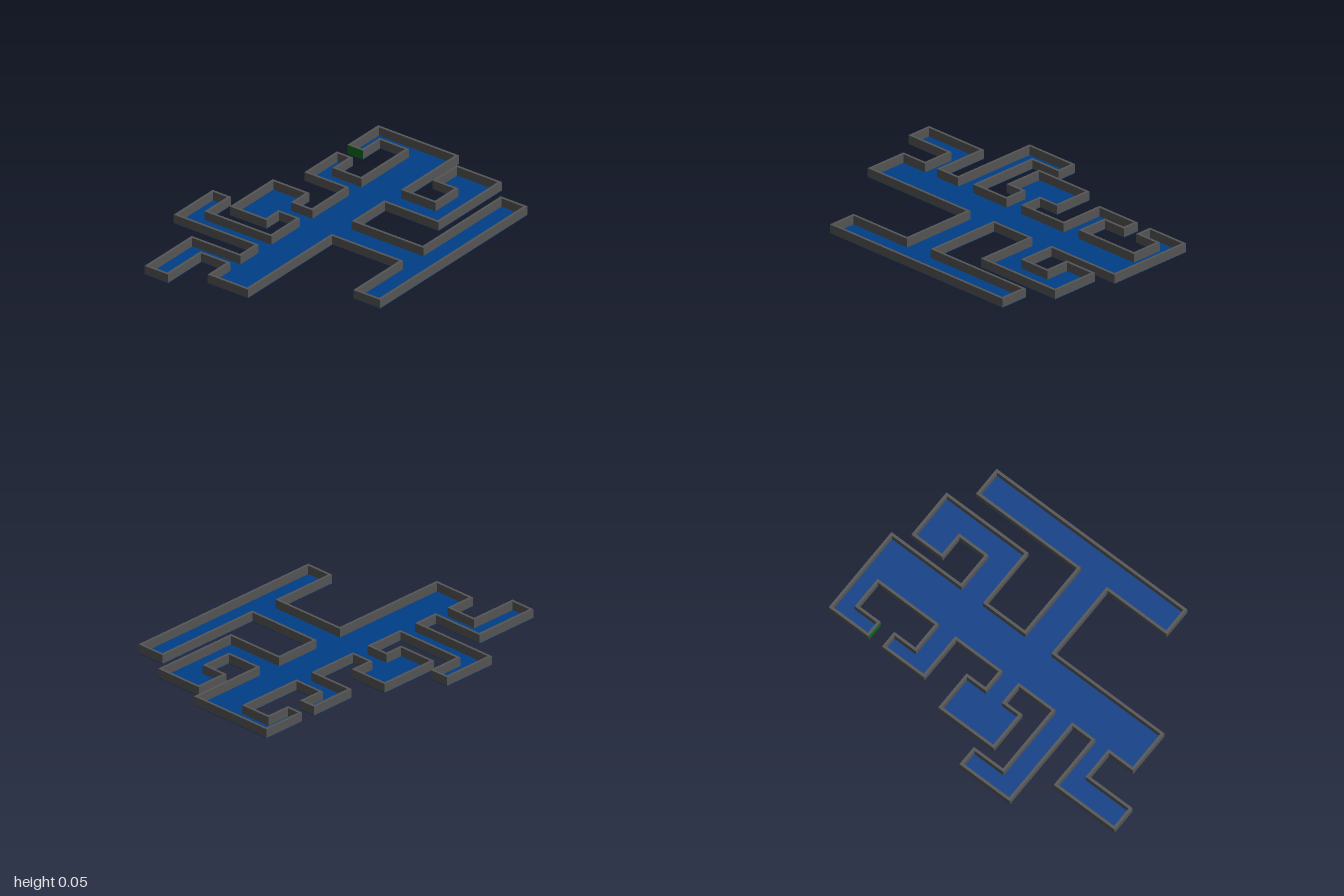
import * as THREE from 'three';

const HEIGHT = 0.055, FLOOR = 0.003, WALL = 0.016;

// Outer outline of the corridors as x, z pairs, clockwise seen from above
const OUTLINE = [
  // back-right arm
  [-0.87, -0.18], [-0.705, -0.18], [-0.705, -0.35], [-1, -0.35], [-1, -0.508], [-0.583, -0.508], [-0.583, -0.18],
  // tall arm
  [-0.455, -0.18], [-0.455, -0.728], [-0.11, -0.728], [-0.11, -0.602], [-0.31, -0.602], [-0.31, -0.18],
  // small room with neck
  [-0.088, -0.18], [-0.088, -0.294], [-0.2, -0.294], [-0.2, -0.543], [0.181, -0.543], [0.181, -0.294], [0.053, -0.294], [0.053, -0.18],
  // two facing hooks
  [0.345, -0.18], [0.345, -0.455], [0.635, -0.455], [0.635, -0.348], [0.49, -0.348], [0.49, -0.18],
  [0.877, -0.18], [0.877, -0.348], [0.727, -0.348], [0.727, -0.455], [1, -0.455], [1, 0.093],
  // front hook
  [0.523, 0.093], [0.523, 0.296], [0.693, 0.296], [0.693, 0.148], [0.907, 0.148], [0.907, 0.455], [0.345, 0.455], [0.345, 0.093],
  // stem and front corridor
  [0.087, 0.093], [0.087, 0.547], [0.778, 0.547], [0.778, 0.728], [-0.528, 0.728], [-0.528, 0.547], [-0.123, 0.547], [-0.123, 0.093],
  [-0.87, 0.093],
].map(([x, z]) => new THREE.Vector2(x, -z));

// Moves every right-angled corner inwards by t along both of its edges' normals
function inset(points, t) {
  const normal = (a, b) => {
    const d = b.clone().sub(a).normalize();
    return new THREE.Vector2(d.y, -d.x);
  };
  const n = points.length;
  return points.map((p, i) => p.clone()
    .addScaledVector(normal(points[(i + n - 1) % n], p), t)
    .addScaledVector(normal(p, points[(i + 1) % n]), t));
}

// Extrudes a plan shape upwards from y
function slab(name, shape, y, height, material) {
  const geometry = new THREE.ExtrudeGeometry(shape, { depth: height, bevelEnabled: false });
  geometry.rotateX(-Math.PI / 2);
  const mesh = new THREE.Mesh(geometry, material);
  mesh.name = name;
  mesh.position.y = y;
  return mesh;
}

export function createModel() {
  const group = new THREE.Group();
  group.name = 'floorPlan';
  const blue = new THREE.MeshStandardMaterial({ color: 0x003f87 });
  const grey = new THREE.MeshStandardMaterial({ color: 0x555555 });
  const green = new THREE.MeshStandardMaterial({ color: 0x0a6a1a });

  group.add(slab('floor', new THREE.Shape(OUTLINE), 0, FLOOR, blue));

  // Continuous wall around the floor's edge; the hole runs the other way round
  const ring = new THREE.Shape(OUTLINE);
  ring.holes.push(new THREE.Path(inset(OUTLINE, WALL).reverse()));
  group.add(slab('walls', ring, FLOOR, HEIGHT - FLOOR, grey));

  // Green panel on the outer end of the back-left hook
  const panel = new THREE.Mesh(new THREE.PlaneGeometry(0.107, HEIGHT), green);
  panel.name = 'exitPanel';
  panel.rotation.y = -Math.PI / 2;
  panel.position.set(0.726, HEIGHT / 2, -0.4015);
  group.add(panel);

  return group;
}
